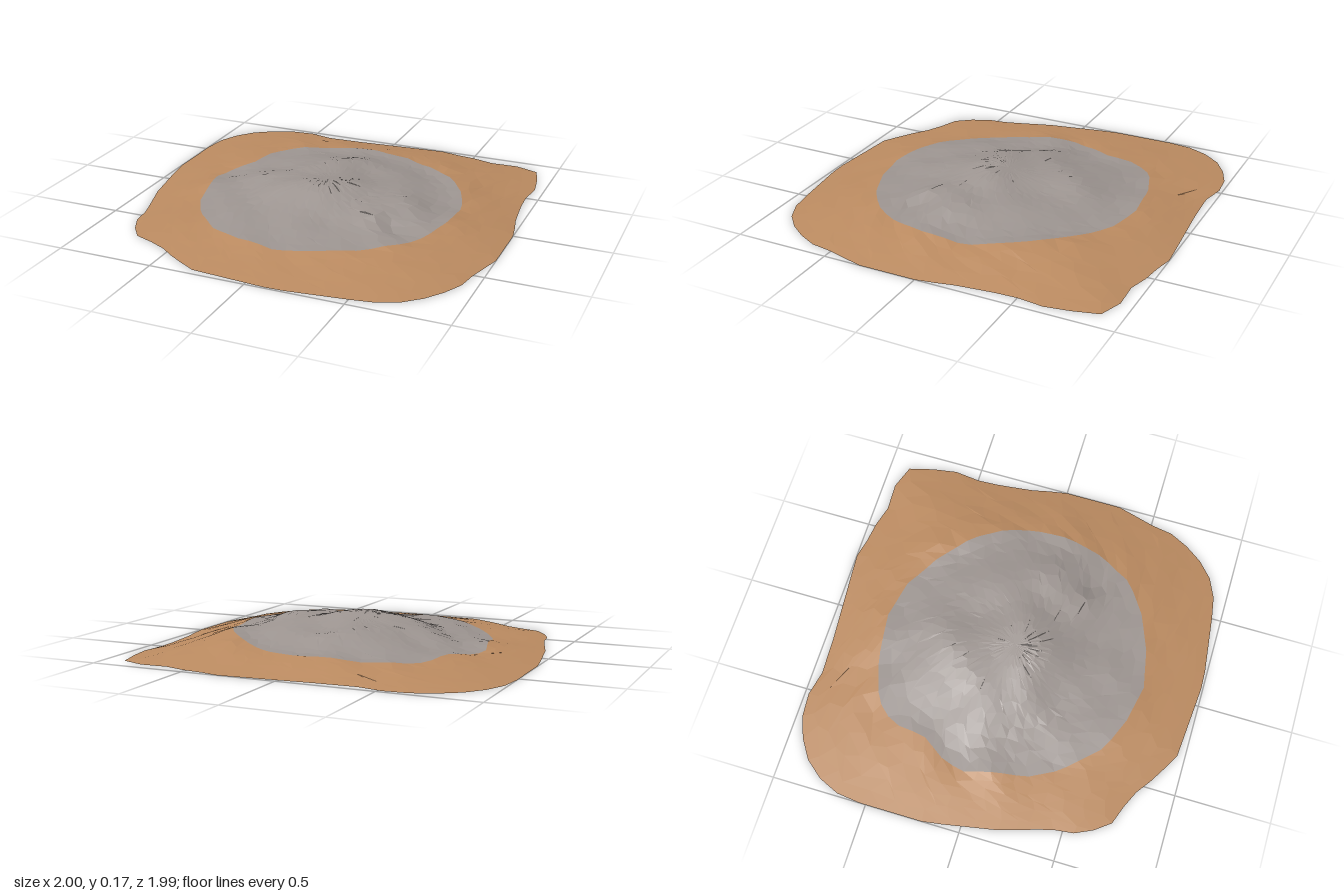
import * as THREE from 'three';

// Outer edge and edge of the rocky top, as x, z corners in order of angle
const outline = [
  [1, -0.02], [0.96, -0.2], [0.93, -0.47], [0.95, -0.63], [0.91, -0.87], [0.85, -0.95], [0.73, -0.93],
  [0.62, -0.93], [0.52, -0.96], [0.43, -0.97], [0.3, -1], [-0.2, -0.96], [-0.46, -0.95], [-0.51, -0.98],
  [-0.61, -0.985], [-0.83, -0.9], [-0.96, -0.74], [-1, -0.61], [-1, -0.18], [-0.93, 0.19], [-0.85, 0.44],
  [-0.83, 0.6], [-0.73, 0.73], [-0.56, 0.79], [-0.5, 0.84], [-0.3, 0.96], [0.14, 0.995], [0.6, 0.94],
  [0.71, 0.9], [0.81, 0.81], [0.87, 0.73], [0.94, 0.59], [0.945, 0.5], [1, 0.31],
];
const rockEdge = [
  [0.7, -0.1], [0.65, -0.25], [0.55, -0.41], [0.38, -0.56], [0.2, -0.67], [0, -0.71], [-0.25, -0.68],
  [-0.46, -0.61], [-0.56, -0.5], [-0.58, -0.32], [-0.66, -0.2], [-0.7, -0.08], [-0.66, 0.08], [-0.63, 0.25],
  [-0.55, 0.4], [-0.37, 0.59], [-0.2, 0.66], [0, 0.7], [0.2, 0.66], [0.4, 0.58], [0.55, 0.47],
  [0.65, 0.3], [0.7, 0.1],
];

// Distance from the centre to a closed polygon along an angle
function reach(poly, angle) {
  const c = Math.cos(angle), s = Math.sin(angle);
  for (let i = 0; i < poly.length; i++) {
    const [ax, az] = poly[i], [bx, bz] = poly[(i + 1) % poly.length];
    const dx = bx - ax, dz = bz - az;
    const det = dx * s - dz * c;
    if (Math.abs(det) < 1e-9) continue;
    const r = (dx * az - dz * ax) / det;
    const u = (c * az - s * ax) / det;
    if (r > 0 && u >= -1e-6 && u <= 1 + 1e-6) return r;
  }
  return 0.8;
}

// Local knolls (positive) and hollows (negative): x, z, height, width
const bumps = [
  [0.06, 0.1, 0.012, 0.18], [0.44, 0.09, 0.045, 0.13], [0.36, 0.28, 0.018, 0.08], [0.46, 0.31, -0.025, 0.07],
  [0.62, 0.12, -0.015, 0.08], [-0.25, 0.08, 0.012, 0.12], [-0.2, 0.26, -0.016, 0.12], [0.12, -0.28, -0.016, 0.1],
  [-0.05, -0.4, 0.012, 0.13], [0.32, -0.32, 0.012, 0.12], [0.24, 0.1, -0.008, 0.08], [0.05, 0.45, 0.01, 0.13],
  [-0.42, -0.38, 0.01, 0.12], [0.15, 0.38, -0.012, 0.07], [0.6, -0.6, 0.014, 0.14], [0.72, 0.5, 0.012, 0.1],
];

// Folded rock relief
function relief(x, z) {
  const folds = 0.006 * Math.sin(9 * x + 6 * z + 2 * Math.sin(5 * z))
    + 0.005 * Math.sin(13 * z - 8 * x + 1.5 * Math.sin(7 * x))
    + 0.003 * Math.sin(23 * x + 4) * Math.sin(19 * z + 1);
  return bumps.reduce((sum, [bx, bz, h, w]) =>
    sum + h * Math.exp(-((x - bx) ** 2 + (z - bz) ** 2) / (w * w)), folds);
}

const SEGMENTS = 64, ROCK_RINGS = 11, SLOPE_RINGS = 6;

// Ground point: t runs 0..1 over the rock and 1..2 down the slope
function groundPoint(t, angle) {
  const inner = reach(rockEdge, angle), outer = reach(outline, angle);
  const r = t <= 1 ? inner * t : inner + (outer - inner) * (t - 1);
  const x = r * Math.cos(angle), z = r * Math.sin(angle);
  const rim = 0.056 + 0.018 * Math.cos(angle) - 0.006 * Math.sin(angle);
  let y;
  if (t <= 1) {
    y = rim + (0.148 - rim) * (0.5 + 0.5 * Math.cos(Math.PI * t ** 1.1));
    y += relief(x, z);
  } else {
    const fall = 2 - t;
    const gullies = 0.006 * Math.max(0, Math.cos(angle)) * Math.sin(angle * 17 + t * 9);
    y = rim * fall + (relief(x, z) + gullies) * Math.sqrt(fall) * fall;
    if (fall > 0.999) y = rim + relief(x, z);
  }
  return [x, t >= 2 ? 0 : Math.max(0.002, y), z];
}

// Faceted band of ground between two values of t
function groundBand(name, from, to, rings, material) {
  const positions = [], index = [];
  for (let i = 0; i <= rings; i++) {
    for (let j = 0; j < SEGMENTS; j++) {
      // inner vertices are staggered so the facets look irregular
      const edge = i === 0 || i === rings;
      const shift = edge ? 0 : 0.28 * Math.sin(i * 2.3 + j * 1.9);
      const wobble = edge ? 0 : 0.25 * Math.sin(j * 2.7 + i * 1.3);
      const t = i === rings ? to : from + (to - from) * (i + wobble) / rings;
      positions.push(...groundPoint(t, (j + shift) / SEGMENTS * Math.PI * 2));
    }
  }
  for (let i = 0; i < rings; i++) {
    for (let j = 0; j < SEGMENTS; j++) {
      const a = i * SEGMENTS + j, b = i * SEGMENTS + (j + 1) % SEGMENTS;
      const c = a + SEGMENTS, d = b + SEGMENTS;
      if (from > 0 || i > 0) index.push(a, b, c);
      index.push(b, d, c);
    }
  }
  const indexed = new THREE.BufferGeometry();
  indexed.setAttribute('position', new THREE.Float32BufferAttribute(positions, 3));
  indexed.setIndex(index);
  const geometry = indexed.toNonIndexed();
  geometry.computeVertexNormals();
  const mesh = new THREE.Mesh(geometry, material);
  mesh.name = name;
  return mesh;
}

export function createModel() {
  const rock = new THREE.MeshStandardMaterial({ color: 0x9c9490, side: THREE.DoubleSide });
  rock.name = 'grey rock';
  const earth = new THREE.MeshStandardMaterial({ color: 0xba8a60, side: THREE.DoubleSide });
  earth.name = 'brown earth';

  const model = new THREE.Group();
  model.name = 'rockyMound';
  model.add(
    groundBand('rockyTop', 0, 1, ROCK_RINGS, rock),
    groundBand('earthSlope', 1, 2, SLOPE_RINGS, earth),
  );
  return model;
}
